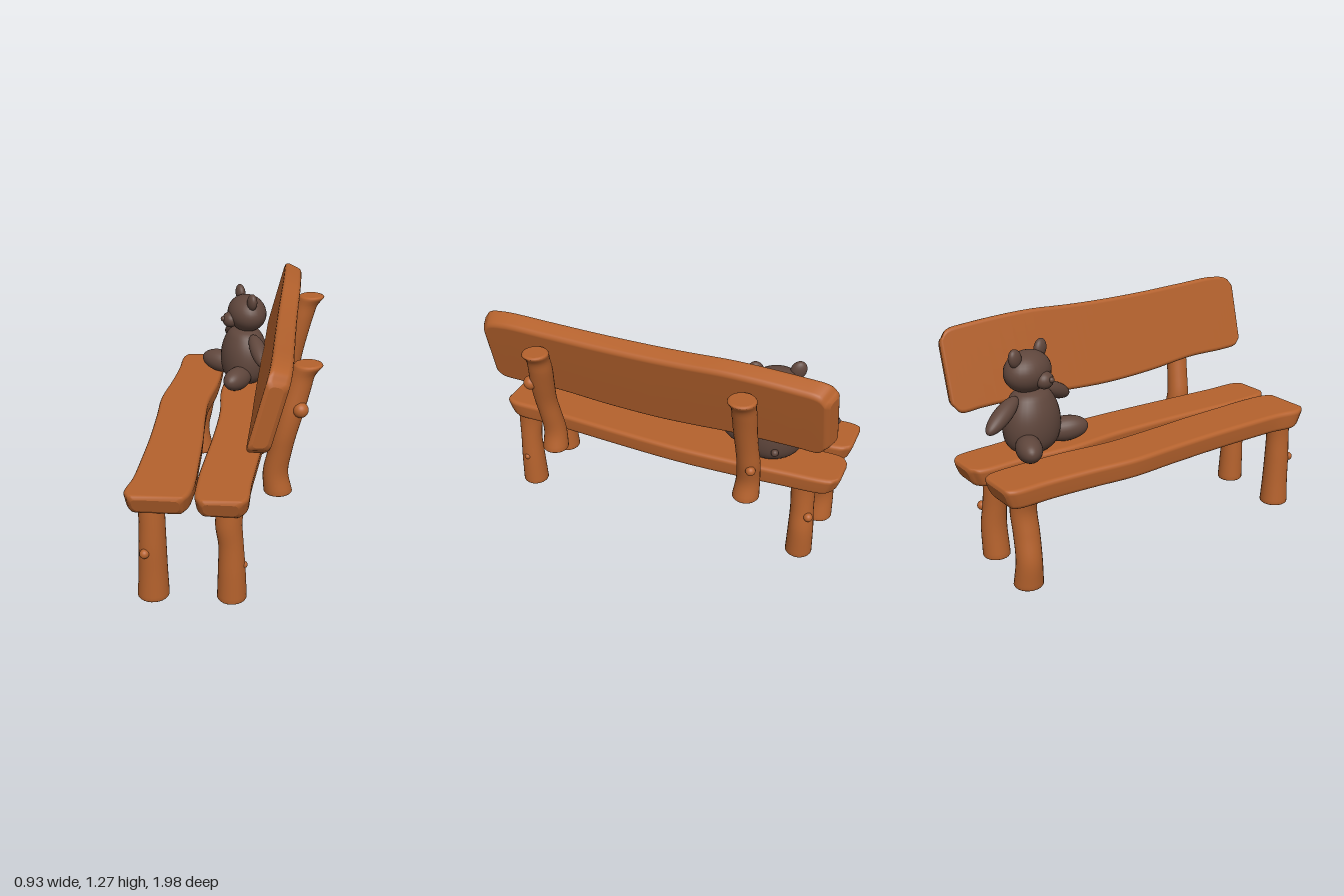
import * as THREE from 'three';

const wood = new THREE.MeshStandardMaterial({ color: 0xb5622d });
wood.name = 'warm wood';
const fur = new THREE.MeshStandardMaterial({ color: 0x5f463c });
fur.name = 'brown fur';

const V = (x, y, z) => new THREE.Vector3(x, y, z);

function add(parent, name, geometry, material) {
  const mesh = new THREE.Mesh(geometry, material);
  mesh.name = name;
  parent.add(mesh);
  return mesh;
}

// Skin a list of equal-sized rings and close both ends with flat caps
function loft(rings) {
  const n = rings[0].length, pos = [], idx = [];
  rings.forEach(r => r.forEach(p => pos.push(p.x, p.y, p.z)));
  for (let j = 0; j < rings.length - 1; j++) {
    for (let i = 0; i < n; i++) {
      const a = j * n + i, b = j * n + (i + 1) % n;
      idx.push(a, a + n, b, b, a + n, b + n);
    }
  }
  [rings[0], rings[rings.length - 1]].forEach((ring, end) => {
    const c = ring.reduce((s, p) => s.add(p), V(0, 0, 0)).divideScalar(n);
    const base = pos.length / 3;
    [c, ...ring].forEach(p => pos.push(p.x, p.y, p.z));
    for (let i = 0; i < n; i++) {
      const a = base + 1 + i, b = base + 1 + (i + 1) % n;
      idx.push(base, end ? b : a, end ? a : b);
    }
  });
  const g = new THREE.BufferGeometry();
  g.setAttribute('position', new THREE.Float32BufferAttribute(pos, 3));
  g.setIndex(idx);
  g.computeVertexNormals();
  return g;
}

// Wavy plank along z: stations are [z, low edge, high edge]; the underside is slightly shorter
function plankGeometry(stations, thickness) {
  const curve = new THREE.CatmullRomCurve3(stations.map(s => V(...s)));
  const section = (p, inset) => {
    const ring = [], r = 0.025;
    const cu = (p.y + p.z) / 2, hu = (p.z - p.y) / 2 - inset, ht = thickness / 2 - inset;
    for (let k = 0; k < 4; k++) {
      const sx = k === 0 || k === 3 ? 1 : -1, sy = k < 2 ? -1 : 1;
      for (let i = 0; i <= 4; i++) {
        const a = (k + i / 4) * Math.PI / 2;
        const t = sy * (ht - r) - r * Math.sin(a);
        const low = 0.5 - t / thickness;
        const u = sx * (hu - r - 0.012 * low) + r * Math.cos(a);
        ring.push(V(cu + u, t, p.x * (1 - 0.04 * low)));
      }
    }
    return ring;
  };
  const rings = [], N = 48;
  for (let i = 0; i <= N; i++) rings.push(section(curve.getPoint(i / N), 0));
  const first = curve.getPoint(0), last = curve.getPoint(1);
  [[0.008, 0.006], [0.016, 0.02]].forEach(([d, inset]) => {
    rings.unshift(section(V(first.x - d, first.y, first.z), inset));
    rings.push(section(V(last.x + d, last.y, last.z), inset));
  });
  return loft(rings);
}

// Crooked upright log: stations are [x, y, z, radius], from bottom to top
function logGeometry(stations) {
  const path = new THREE.CatmullRomCurve3(stations.map(s => V(s[0], s[1], s[2])));
  const radii = new THREE.CatmullRomCurve3(stations.map((s, i) => V(s[3], i, 0)));
  const ring = (p, r) => Array.from({ length: 24 }, (_, i) => {
    const a = i / 24 * Math.PI * 2;
    return V(p.x + r * Math.cos(a), p.y, p.z + r * Math.sin(a));
  });
  const rings = [], N = 28;
  for (let i = 0; i <= N; i++) rings.push(ring(path.getPoint(i / N), radii.getPoint(i / N).x));
  [[0.006, 0.004], [0.01, 0.014]].forEach(([d, inset]) => {
    const s = stations[0], e = stations[stations.length - 1];
    rings.unshift(ring(V(s[0], s[1] - d, s[2]), s[3] - inset));
    rings.push(ring(V(e[0], e[1] + d, e[2]), e[3] - inset));
  });
  return loft(rings);
}

function ball(parent, name, material, center, sx, sy = sx, sz = sx) {
  const m = add(parent, name, new THREE.SphereGeometry(1, 28, 20), material);
  m.position.copy(center);
  m.scale.set(sx, sy, sz);
  return m;
}

// Egg-shaped limb stretched between two points
function limb(parent, name, a, b, rx, rz) {
  const m = ball(parent, name, fur, a.clone().add(b).multiplyScalar(0.5), rx, a.distanceTo(b) / 2, rz);
  m.quaternion.setFromUnitVectors(V(0, 1, 0), b.clone().sub(a).normalize());
}

function createBear() {
  const bear = new THREE.Group();
  bear.name = 'toyBear';
  const profile = new THREE.SplineCurve([[0, 0.6], [0.09, 0.605], [0.142, 0.65], [0.16, 0.72],
    [0.155, 0.8], [0.13, 0.87], [0.09, 0.92], [0, 0.95]].map(p => new THREE.Vector2(...p)));
  const pts = profile.getPoints(28);
  pts.forEach(p => { p.x = Math.max(0, p.x); });
  add(bear, 'body', new THREE.LatheGeometry(pts, 32), fur).scale.set(1.08, 1, 0.87);
  ball(bear, 'head', fur, V(0, 1.022, -0.015), 0.145, 0.108, 0.112);
  ball(bear, 'snout', fur, V(0, 0.99, 0.09), 0.052, 0.046, 0.045);
  ball(bear, 'nose', fur, V(0, 0.998, 0.132), 0.016);
  ball(bear, 'tail', fur, V(0, 0.69, -0.142), 0.02);
  for (const s of [-1, 1]) {
    const ear = ball(bear, 'ear', fur, V(s * 0.108, 1.115, -0.01), 0.042, 0.052, 0.028);
    ear.rotation.z = -s * 0.35;
    limb(bear, 'arm', V(s * 0.1, 0.91, -0.015), V(s * 0.35, 0.795, -0.01), 0.045, 0.048);
    limb(bear, 'leg', V(s * 0.075, 0.665, 0.01), V(s * 0.25, 0.685, 0.185), 0.068, 0.068);
  }
  bear.position.set(0, 0, -0.585);
  bear.rotation.y = -1.17;
  return bear;
}

export function createModel() {
  const model = new THREE.Group();
  model.name = 'benchWithBear';

  // Seat planks
  add(model, 'frontSeatPlank', plankGeometry([
    [-0.97, -0.41, -0.18], [-0.93, -0.425, -0.155], [-0.75, -0.425, -0.145], [-0.5, -0.44, -0.15],
    [-0.25, -0.462, -0.175], [0, -0.45, -0.168], [0.3, -0.44, -0.147], [0.55, -0.44, -0.137],
    [0.78, -0.445, -0.13], [0.92, -0.462, -0.14], [0.97, -0.44, -0.16]], 0.112), wood)
    .position.y = 0.555;
  add(model, 'backSeatPlank', plankGeometry([
    [-0.984, -0.07, 0.12], [-0.95, -0.105, 0.15], [-0.7, -0.11, 0.17], [-0.4, -0.128, 0.185],
    [-0.1, -0.105, 0.19], [0.25, -0.108, 0.175], [0.5, -0.12, 0.16], [0.75, -0.13, 0.145],
    [0.94, -0.12, 0.14], [0.98, -0.1, 0.12]], 0.108), wood)
    .position.y = 0.552;

  // Leaning backrest
  const back = add(model, 'backrestPlank', plankGeometry([
    [-0.955, -0.185, 0.175], [-0.92, -0.222, 0.212], [-0.8, -0.22, 0.227], [-0.45, -0.222, 0.24],
    [-0.2, -0.238, 0.228], [0, -0.245, 0.222], [0.3, -0.235, 0.222], [0.6, -0.21, 0.23],
    [0.85, -0.212, 0.235], [0.95, -0.205, 0.215], [0.98, -0.18, 0.18]], 0.108), wood);
  back.rotation.z = THREE.MathUtils.degToRad(75);
  back.position.set(0.226, 1.03, 0);

  // Log legs and backrest posts
  const logs = {
    frontLeftLeg: [[-0.34, 0.012, 0.875, 0.08], [-0.337, 0.15, 0.88, 0.073], [-0.335, 0.3, 0.885, 0.069],
      [-0.333, 0.42, 0.885, 0.065], [-0.335, 0.52, 0.88, 0.066]],
    frontRightLeg: [[-0.297, 0.012, -0.812, 0.077], [-0.315, 0.16, -0.815, 0.068], [-0.29, 0.3, -0.81, 0.068],
      [-0.272, 0.42, -0.812, 0.068], [-0.295, 0.52, -0.81, 0.066]],
    backLeftLeg: [[0.053, 0.02, 0.88, 0.074], [0.053, 0.18, 0.885, 0.068], [0.05, 0.32, 0.888, 0.062],
      [0.04, 0.43, 0.888, 0.066], [0.045, 0.52, 0.885, 0.064]],
    backRightLeg: [[0.057, 0.02, -0.797, 0.074], [0.066, 0.2, -0.8, 0.069], [0.055, 0.32, -0.795, 0.064],
      [0.045, 0.43, -0.79, 0.066], [0.045, 0.52, -0.79, 0.066]],
    leftBackPost: [[0.26, 0.475, 0.597, 0.072], [0.247, 0.58, 0.6, 0.063], [0.268, 0.7, 0.61, 0.06],
      [0.29, 0.8, 0.618, 0.06], [0.32, 0.92, 0.612, 0.064], [0.348, 1.03, 0.6, 0.064],
      [0.368, 1.1, 0.597, 0.062], [0.395, 1.147, 0.595, 0.071]],
    rightBackPost: [[0.26, 0.475, -0.535, 0.072], [0.247, 0.58, -0.54, 0.063], [0.272, 0.7, -0.545, 0.062],
      [0.292, 0.8, -0.54, 0.06], [0.318, 0.92, -0.535, 0.062], [0.345, 1.03, -0.535, 0.064],
      [0.368, 1.1, -0.535, 0.064], [0.395, 1.147, -0.535, 0.074]],
  };
  for (const name in logs) add(model, name, logGeometry(logs[name]), wood);

  // Cut-off twigs on the logs
  [[-0.365, 0.283, 0.95, 0.024], [0.113, 0.21, 0.89, 0.018], [0.105, 0.3, -0.845, 0.025],
    [0.365, 0.94, 0.658, 0.038], [0.328, 0.692, -0.575, 0.026]]
    .forEach(([x, y, z, r]) => ball(model, 'knot', wood, V(x, y, z), r));

  model.add(createBear());
  return model;
}
